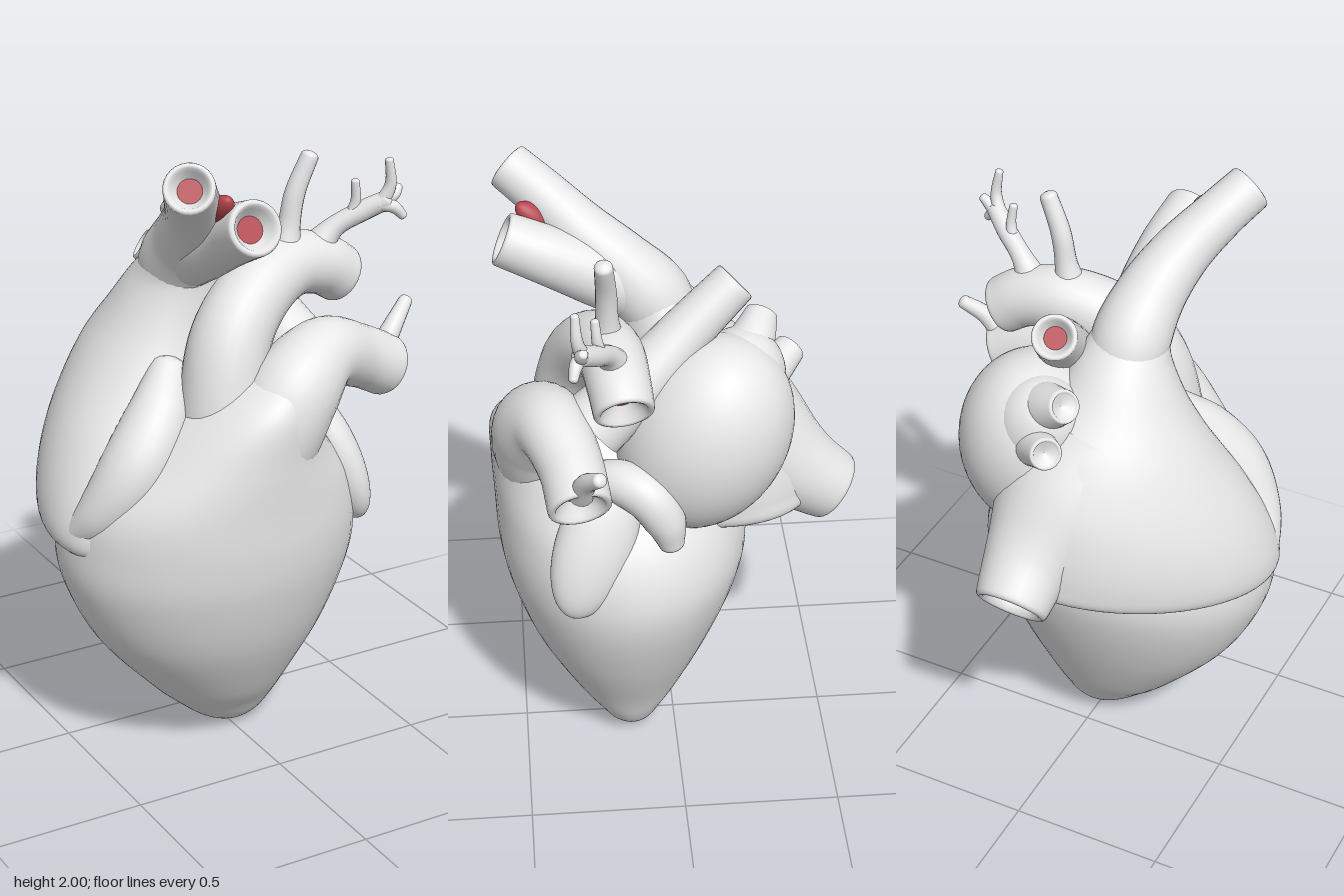
import * as THREE from 'three';

const tissue = new THREE.MeshStandardMaterial({ color: 0xe8e8e8 });
tissue.name = 'pale tissue';
const lumen = new THREE.MeshStandardMaterial({ color: 0xb5434d });
lumen.name = 'red lumen';

const V = (x, y, z) => new THREE.Vector3(x, y, z);

// Smooth skin over a list of rings with equal point counts
function skin(rings) {
  const n = rings[0].length, pos = [], idx = [];
  rings.forEach(r => r.forEach(p => pos.push(p.x, p.y, p.z)));
  for (let i = 0; i < rings.length - 1; i++) {
    for (let j = 0; j < n; j++) {
      const a = i * n + j, b = i * n + (j + 1) % n;
      idx.push(a, b, b + n, a, b + n, a + n);
    }
  }
  const g = new THREE.BufferGeometry();
  g.setAttribute('position', new THREE.Float32BufferAttribute(pos, 3));
  g.setIndex(idx);
  g.computeVertexNormals();
  return g;
}

function add(group, name, geometry, material = tissue) {
  const m = new THREE.Mesh(geometry, material);
  m.name = name;
  group.add(m);
  return m;
}

// Chamber: stacked ellipses, rows of [y, cx, cz, a, b]; turned in plan and tilted
function chamber(group, name, rows, turn = 0, tilt = 0) {
  const centres = new THREE.CatmullRomCurve3(rows.map(r => V(r[1], r[0], r[2])), false, 'catmullrom');
  const sizes = new THREE.CatmullRomCurve3(rows.map(r => V(r[3], r[4], 0)), false, 'catmullrom');
  const rings = [], steps = 72, sides = 56, c = Math.cos(turn), s = Math.sin(turn);
  for (let i = 0; i <= steps; i++) {
    const p = centres.getPoint(i / steps), q = sizes.getPoint(i / steps), ring = [];
    for (let j = 0; j < sides; j++) {
      const t = j / sides * Math.PI * 2;
      const u = Math.max(q.x, 0) * Math.cos(t), v = Math.max(q.y, 0) * Math.sin(t);
      ring.push(V(p.x + u * c - v * s, p.y + u * tilt, p.z - u * s - v * c));
    }
    rings.push(ring);
  }
  add(group, name, skin(rings));
}

// Vessel: tube through [x, y, z, radius] points; bore is the relative width of
// the red lumen, 0 gives a plain dimple and null a rounded end
function vessel(group, name, pts, bore = null, sides = 28) {
  const path = new THREE.CatmullRomCurve3(pts.map(p => V(p[0], p[1], p[2])));
  const radii = new THREE.CatmullRomCurve3(pts.map(p => V(p[3], 0, 0)), false, 'catmullrom');
  const rings = [], steps = pts.length * 8;
  let normal = V(0.31, 0.22, 0.93), tangent, centre, radius;
  const ring = (offset, r) => {
    const side = tangent.clone().cross(normal), mid = centre.clone().addScaledVector(tangent, offset);
    rings.push(Array.from({ length: sides }, (_, j) => {
      const t = j / sides * Math.PI * 2;
      return mid.clone().addScaledVector(normal, r * Math.cos(t)).addScaledVector(side, r * Math.sin(t));
    }));
  };
  for (let i = 0; i <= steps; i++) {
    centre = path.getPoint(i / steps);
    tangent = path.getTangent(i / steps).normalize();
    normal = normal.clone().addScaledVector(tangent, -normal.dot(tangent)).normalize();
    radius = radii.getPoint(i / steps).x;
    ring(0, radius);
  }
  const g = new THREE.Group();
  g.name = name;
  group.add(g);
  if (bore === null) {
    [0.3, 0.6, 0.85, 1].forEach(k => ring(k * radius * 0.6, radius * Math.sqrt(1 - k * k)));
  } else {
    // rolled lip and inner wall
    [[0.08, 0.97], [0.12, 0.88], [0.08, 0.78], [-0.08, 0.7], [-0.4, bore]].forEach(([o, k]) => ring(o * radius, k * radius));
  }
  if (bore) {
    const cap = add(g, name + 'Lumen', new THREE.CircleGeometry(radius * bore, sides), lumen);
    cap.position.copy(centre).addScaledVector(tangent, -radius * 0.39);
    cap.quaternion.setFromUnitVectors(V(0, 0, 1), tangent);
  }
  add(g, name + 'Wall', skin(rings));
}

// Rounded lobe
function lobe(group, name, centre, size, rotation, material = tissue) {
  const m = add(group, name, new THREE.SphereGeometry(1, 48, 32), material);
  m.position.set(...centre);
  m.scale.set(...size);
  m.rotation.set(...rotation);
}

export function createModel() {
  const heart = new THREE.Group();
  heart.name = 'heart';

  // Ventricles, from apex to outflow
  chamber(heart, 'ventricles', [
    [0, 0.02, 0.14, 0, 0], [0.012, 0.018, 0.142, 0.062, 0.05], [0.045, 0.01, 0.146, 0.115, 0.087],
    [0.1, -0.005, 0.15, 0.168, 0.125], [0.2, -0.035, 0.155, 0.245, 0.197], [0.4, -0.07, 0.163, 0.385, 0.303],
    [0.6, -0.08, 0.16, 0.473, 0.376], [0.75, -0.08, 0.16, 0.49, 0.403], [0.9, -0.085, 0.18, 0.45, 0.39],
    [1.05, -0.07, 0.23, 0.32, 0.345], [1.2, -0.03, 0.33, 0.18, 0.24], [1.29, 0.02, 0.38, 0.09, 0.13],
    [1.33, 0.04, 0.4, 0, 0],
  ]);

  // Right atrium, narrowing upward into the upper great vein
  chamber(heart, 'rightAtrium', [
    [0.8, -0.22, -0.04, 0, 0], [0.805, -0.22, -0.04, 0.36, 0.2], [0.83, -0.2, -0.05, 0.465, 0.29],
    [0.9, -0.2, -0.05, 0.475, 0.31], [1.02, -0.19, -0.06, 0.445, 0.3], [1.15, -0.17, -0.065, 0.39, 0.275],
    [1.3, -0.145, -0.05, 0.29, 0.235], [1.42, -0.13, -0.015, 0.205, 0.185], [1.54, -0.12, 0.03, 0.138, 0.135],
    [1.62, -0.125, 0.085, 0.095, 0.09], [1.67, -0.13, 0.13, 0, 0],
  ], Math.PI / 4, 0.17);
  vessel(heart, 'rightAuricleEdge', [
    [-0.55, 0.79, 0.17, 0.045], [-0.48, 0.89, 0.25, 0.085], [-0.39, 1.02, 0.28, 0.11],
    [-0.3, 1.15, 0.25, 0.1], [-0.22, 1.28, 0.18, 0.06],
  ]);

  // Upper great vein, its two branches and the red cleft between them
  vessel(heart, 'upperVeinRightBranch', [
    [-0.12, 1.45, 0.0, 0.1], [-0.118, 1.57, 0.055, 0.122], [-0.135, 1.68, 0.155, 0.108],
    [-0.18, 1.78, 0.27, 0.092], [-0.25, 1.87, 0.38, 0.08], [-0.31, 1.935, 0.475, 0.076],
  ], 0.48);
  vessel(heart, 'upperVeinLeftBranch', [
    [-0.12, 1.52, 0.02, 0.07], [-0.11, 1.64, 0.18, 0.1], [-0.1, 1.73, 0.35, 0.092], [-0.11, 1.795, 0.5, 0.084],
  ], 0.48);
  lobe(heart, 'veinCleft', [-0.17, 1.835, 0.405], [0.03, 0.036, 0.07], [-0.7, 0, 0.7], lumen);

  // Lower great vein at the back
  vessel(heart, 'lowerVein', [
    [-0.07, 1.2, -0.1, 0.26], [-0.03, 1.09, -0.25, 0.22], [0, 0.985, -0.4, 0.145], [0, 0.905, -0.51, 0.117],
  ], 0.66);

  // Left atrium, its shoulder and two lung veins
  lobe(heart, 'leftAtrium', [0.12, 1.22, -0.09], [0.245, 0.335, 0.265], [-0.4, 0, 0]);
  lobe(heart, 'leftAtriumShoulder', [0.07, 1.36, -0.19], [0.15, 0.18, 0.15], [-0.4, 0, 0.3]);
  vessel(heart, 'lowerLungVein', [[0.1, 1.3, -0.2, 0.1], [0.02, 1.36, -0.3, 0.065], [-0.05, 1.4, -0.37, 0.05]], 0);
  vessel(heart, 'upperLungVein', [[0.12, 1.38, -0.15, 0.1], [0.01, 1.47, -0.24, 0.075], [-0.065, 1.52, -0.28, 0.052]], 0);

  // Left auricle tongue and the ridge arching over it
  lobe(heart, 'leftAuricle', [0.3, 0.94, 0.265], [0.085, 0.25, 0.125], [-0.35, 0, 0.32]);
  vessel(heart, 'leftAuricleRidge', [
    [0.2, 1.11, 0.27, 0.06], [0.26, 1.14, 0.18, 0.07], [0.3, 1.11, 0.1, 0.075],
    [0.32, 1.03, 0.05, 0.065], [0.33, 0.95, 0.03, 0.04],
  ]);

  // Lung artery trunk, its side twig and right branch
  vessel(heart, 'lungArtery', [
    [-0.04, 0.86, 0.34, 0.12], [0.0, 1.08, 0.405, 0.152], [0.075, 1.23, 0.42, 0.145],
    [0.2, 1.315, 0.385, 0.115], [0.35, 1.27, 0.335, 0.1], [0.47, 1.21, 0.315, 0.098],
  ], 0.38);
  vessel(heart, 'lungArteryTwig', [[0.46, 1.25, 0.31, 0.04], [0.52, 1.33, 0.295, 0.03], [0.585, 1.385, 0.26, 0.022]], null, 16);
  vessel(heart, 'lungArteryRightBranch', [
    [0.18, 1.3, 0.26, 0.11], [0.13, 1.43, 0.1, 0.095], [0.07, 1.56, -0.04, 0.08], [0.015, 1.685, -0.185, 0.07],
  ], 0.5);

  // Aorta with its arch
  vessel(heart, 'aorta', [
    [-0.1, 0.95, 0.32, 0.15], [-0.105, 1.18, 0.31, 0.135], [-0.06, 1.38, 0.28, 0.125], [0.05, 1.5, 0.24, 0.114],
    [0.19, 1.55, 0.2, 0.102], [0.31, 1.53, 0.185, 0.096], [0.385, 1.485, 0.175, 0.092],
  ], 0.36);

  // Slender branches on the arch: [name, points]
  [
    ['archBranch', [[0.16, 1.56, 0.21, 0.065], [0.18, 1.67, 0.21, 0.037], [0.2, 1.78, 0.212, 0.032], [0.245, 1.89, 0.22, 0.028]]],
    ['forkedBranch', [[0.28, 1.57, 0.19, 0.06], [0.34, 1.65, 0.215, 0.034], [0.42, 1.705, 0.26, 0.032], [0.475, 1.74, 0.3, 0.03]]],
    ['innerTwig', [[0.385, 1.68, 0.24, 0.022], [0.395, 1.74, 0.25, 0.016], [0.388, 1.8, 0.255, 0.013]]],
    ['upperTwig', [[0.455, 1.72, 0.29, 0.025], [0.48, 1.79, 0.31, 0.018], [0.47, 1.87, 0.315, 0.013]]],
    ['outerTwig', [[0.46, 1.73, 0.29, 0.025], [0.5, 1.755, 0.3, 0.02], [0.52, 1.775, 0.295, 0.014]]],
    ['lowerTwig', [[0.45, 1.73, 0.29, 0.025], [0.49, 1.72, 0.315, 0.02], [0.52, 1.69, 0.325, 0.014]]],
  ].forEach(([name, pts]) => vessel(heart, name, pts, null, 16));

  return heart;
}
